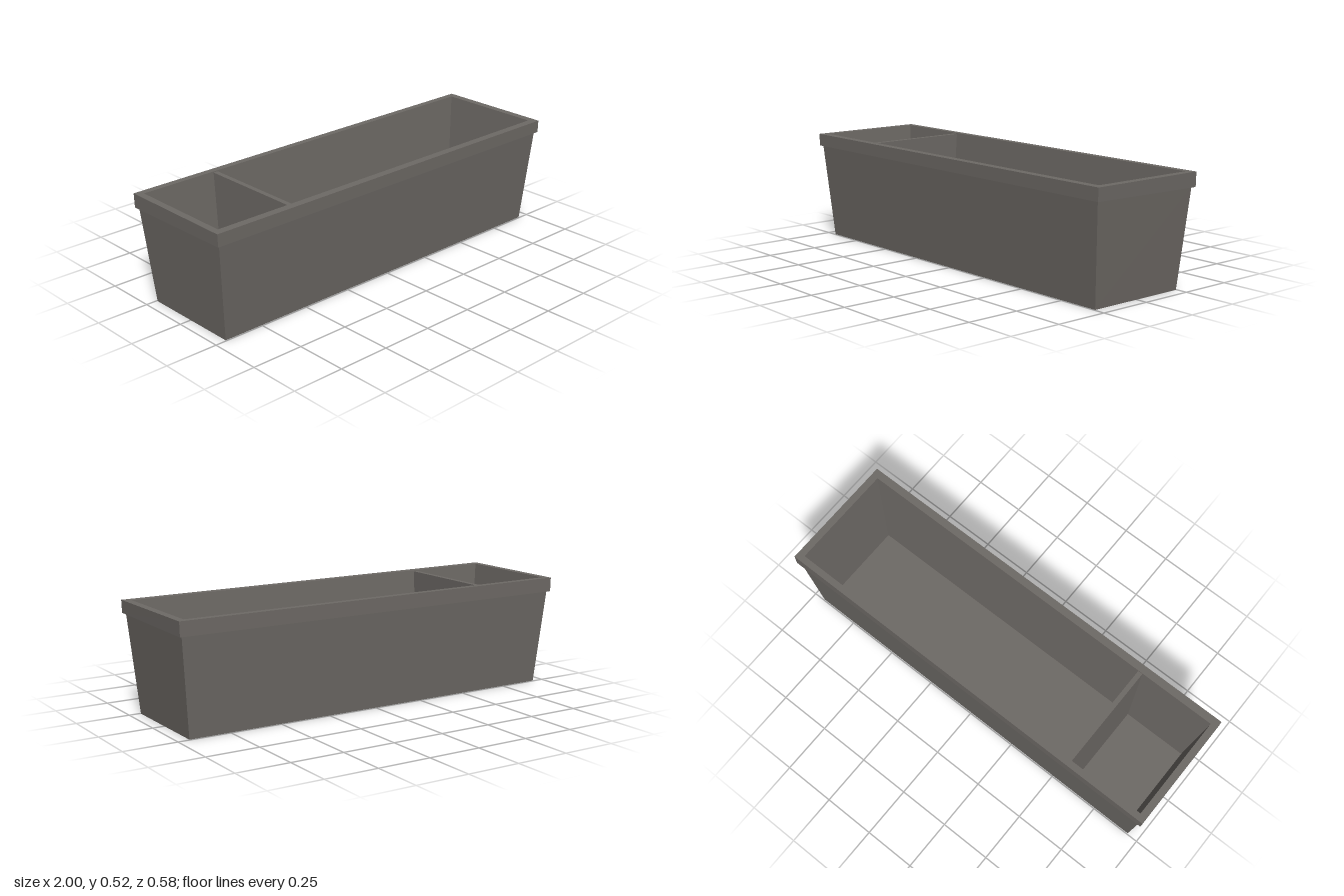
import * as THREE from 'three';

const planterGrey = new THREE.MeshStandardMaterial({ color: 0x6e6a66 });
planterGrey.name = 'planterGrey';

// Rectangular section: y, x range, z range, optional lift of the front edge over the back
function section(y, x0, x1, z0, z1, lift = 0) {
  return [[x0, y + lift, z1], [x1, y + lift, z1], [x1, y, z0], [x0, y, z0]];
}

// Joins successive sections with flat walls; caps close the first and last ones
function loft(name, sections, capFirst, capLast) {
  const positions = [];
  const quad = (a, b, c, d) => positions.push(...a, ...b, ...c, ...a, ...c, ...d);
  for (let s = 0; s < sections.length - 1; s++) {
    const low = sections[s], high = sections[s + 1];
    for (let i = 0; i < 4; i++) {
      const j = (i + 1) % 4;
      quad(low[i], low[j], high[j], high[i]);
    }
  }
  if (capFirst) quad(...[...sections[0]].reverse());
  if (capLast) quad(...sections[sections.length - 1]);
  const geometry = new THREE.BufferGeometry();
  geometry.setAttribute('position', new THREE.Float32BufferAttribute(positions, 3));
  geometry.computeVertexNormals();
  const mesh = new THREE.Mesh(geometry, planterGrey);
  mesh.name = name;
  return mesh;
}

export function createModel() {
  const group = new THREE.Group();
  group.name = 'planterBox';

  const outerTop = section(0.453, -0.985, 0.985, -0.28, 0.28, 0.008);
  const innerTop = section(0.52, -0.968, 0.965, -0.261, 0.255);

  // Tapered outer walls and underside
  group.add(loft('outerWalls', [section(0, -0.945, 0.945, -0.245, 0.245), outerTop], true, false));

  // Overhanging rim, slightly deeper at the back
  group.add(loft('rim', [
    outerTop,
    section(0.453, -0.998, 0.998, -0.292, 0.292, 0.008),
    section(0.52, -1, 1, -0.292, 0.292),
    innerTop,
  ], false, false));

  // Sloping inner walls and floor
  group.add(loft('innerWallsAndFloor', [
    innerTop,
    section(0.03, -0.915, 0.915, -0.222, 0.214),
  ], false, true));

  // Cross wall separating the small compartment
  group.add(loft('divider', [
    section(0.03, -0.598, -0.566, -0.224, 0.216),
    section(0.515, -0.594, -0.571, -0.262, 0.256),
  ], false, true));

  return group;
}
